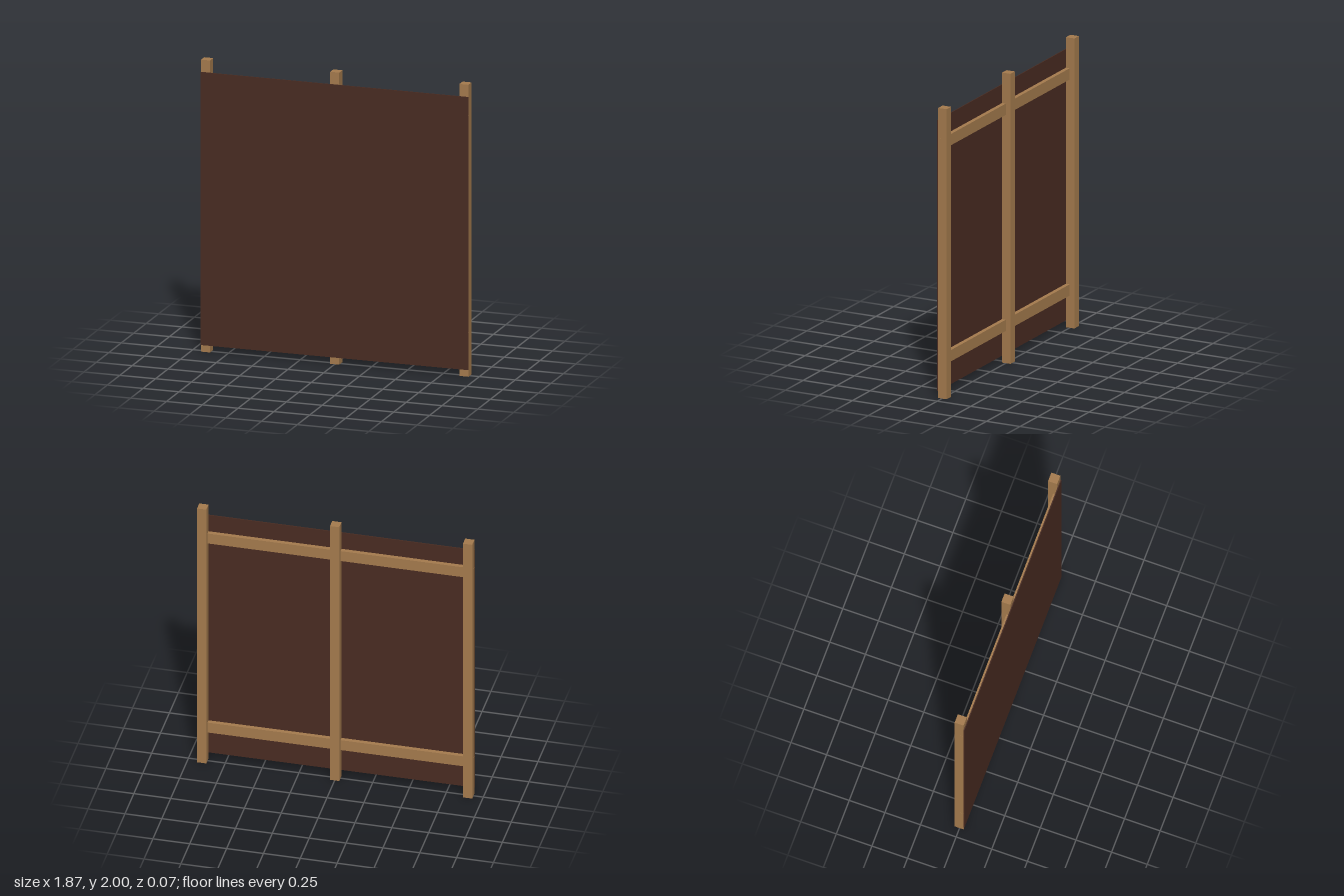
import * as THREE from 'three';

export function createModel() {
  const model = new THREE.Group();
  model.name = 'fencePanel';

  const wood = new THREE.MeshStandardMaterial({ color: 0xa67c4e });
  wood.name = 'light wood';
  const brown = new THREE.MeshStandardMaterial({ color: 0x4a2c22 });
  brown.name = 'dark brown';

  // Box given by its extents on each axis
  function addBox(name, material, [x0, x1], [y0, y1], [z0, z1]) {
    const mesh = new THREE.Mesh(new THREE.BoxGeometry(x1 - x0, y1 - y0, z1 - z0), material);
    mesh.position.set((x0 + x1) / 2, (y0 + y1) / 2, (z0 + z1) / 2);
    mesh.name = name;
    model.add(mesh);
  }

  // Three square upright posts
  const half = 0.0315;
  [['rightPost', -0.902], ['middlePost', 0], ['leftPost', 0.902]].forEach(([name, x]) =>
    addBox(name, wood, [x - half, x + half], [0, 2], [-0.035, 0.028]));

  // Two horizontal rails let into the front half of the posts
  addBox('lowerRail', wood, [-0.9345, 0.9345], [0.222, 0.3], [0, 0.0285]);
  addBox('upperRail', wood, [-0.9345, 0.9345], [1.712, 1.79], [0, 0.0285]);

  // Thin sheet covering the front
  addBox('frontSheet', brown, [-0.935, 0.935], [0.047, 1.917], [0.0285, 0.035]);

  return model;
}
